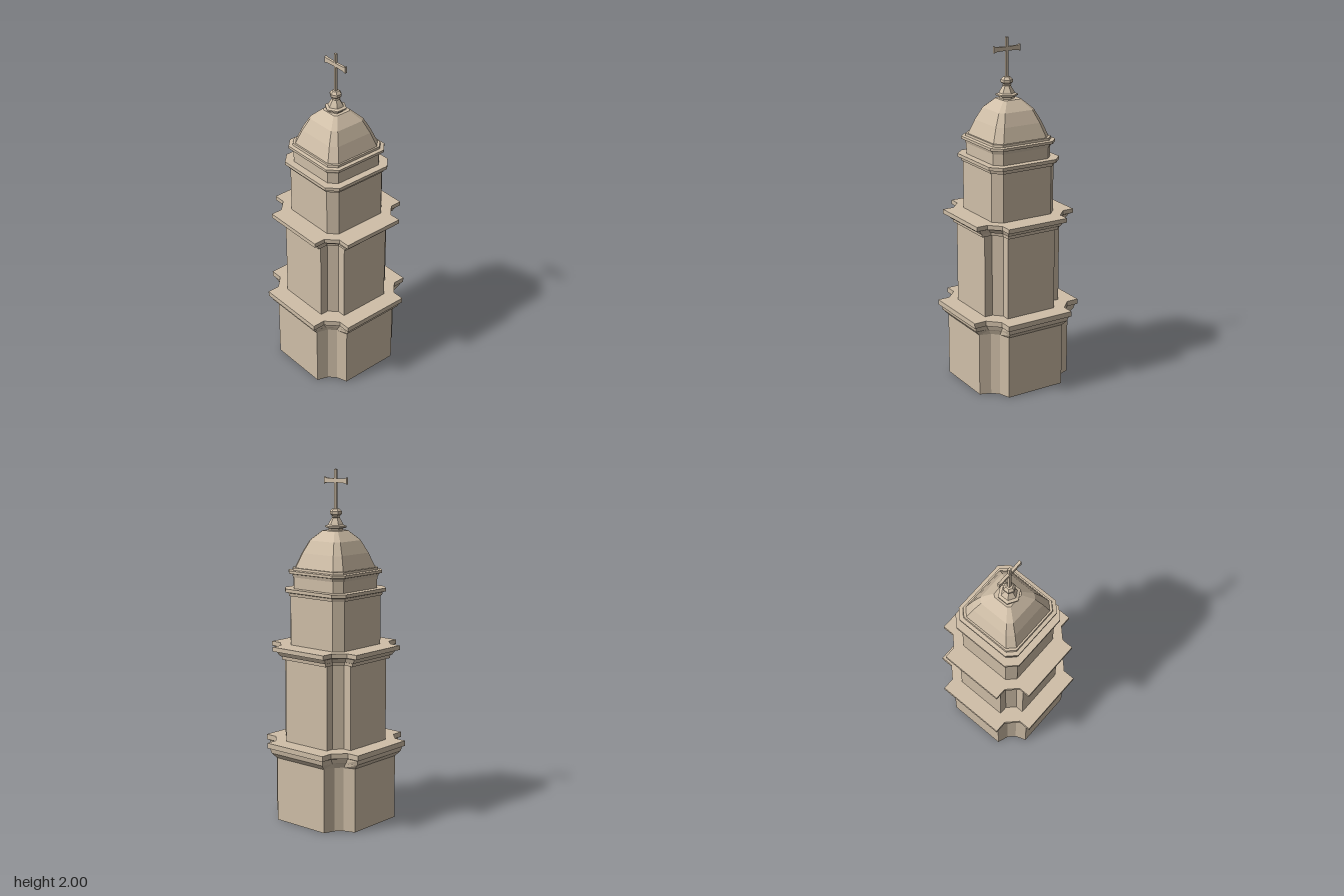
import * as THREE from 'three';

const stone = new THREE.MeshStandardMaterial({ color: 0xd0bfa8, flatShading: true, side: THREE.DoubleSide });

// Rotates one corner's points into all four quadrants
function fourCorners(corner) {
  const ring = [];
  for (let q = 0; q < 4; q++) {
    for (const [x, z] of corner) {
      let p = [x, z];
      for (let i = 0; i < q; i++) p = [-p[1], p[0]];
      ring.push(p);
    }
  }
  return ring;
}

// Cross plan: arm reach r, arm half width w (wk at its root), root distance k
const crossPlan = (r, w, k, wk = w) => fourCorners([[r, w], [k, wk], [wk, k], [w, r]]);
// Square plan with chamfered corners
const chamferPlan = (r, w) => fourCorners([[r, w], [w, r]]);

// Skins a stack of rings [y, points] and closes both ends
function loft(name, rings) {
  const n = rings[0][1].length, pos = [], idx = [];
  for (const [y, pts] of rings) for (const [x, z] of pts) pos.push(x, y, z);
  const last = rings.length - 1, bottom = rings.length * n, top = bottom + 1;
  pos.push(0, rings[0][0], 0, 0, rings[last][0], 0);
  for (let j = 0; j < n; j++) {
    const k = (j + 1) % n;
    for (let i = 0; i < last; i++) {
      const a = i * n + j, b = i * n + k, c = a + n, d = b + n;
      idx.push(a, c, b, b, c, d);
    }
    idx.push(bottom, j, k, top, last * n + k, last * n + j);
  }
  const g = new THREE.BufferGeometry();
  g.setAttribute('position', new THREE.Float32BufferAttribute(pos, 3));
  g.setIndex(idx);
  const flat = g.toNonIndexed();
  flat.computeVertexNormals();
  return named(name, flat);
}

function named(name, geometry) {
  const mesh = new THREE.Mesh(geometry, stone);
  mesh.name = name;
  return mesh;
}

const crossTier = (name, rows) => loft(name, rows.map(([y, ...p]) => [y, crossPlan(...p)]));
const chamferTier = (name, rows) => loft(name, rows.map(([y, ...p]) => [y, chamferPlan(...p)]));

export function createModel() {
  const tower = new THREE.Group();
  tower.name = 'bellTower';

  // Lower storeys with cross-shaped plan
  tower.add(crossTier('baseStorey', [
    [0, 0.3, 0.178, 0.237, 0.2], [0.37, 0.3, 0.178, 0.237, 0.2],
  ]));
  tower.add(crossTier('baseCornice', [
    [0.37, 0.302, 0.18, 0.238, 0.2], [0.395, 0.325, 0.19, 0.25, 0.2],
    [0.4, 0.33, 0.193, 0.255, 0.2], [0.425, 0.335, 0.2, 0.265],
    [0.43, 0.348, 0.21, 0.275], [0.46, 0.348, 0.21, 0.275],
  ]));
  tower.add(crossTier('middleStorey', [
    [0.46, 0.248, 0.155, 0.2], [0.94, 0.248, 0.155, 0.2],
  ]));
  tower.add(crossTier('middleCornice', [
    [0.94, 0.268, 0.163, 0.21], [0.958, 0.27, 0.165, 0.212],
    [0.96, 0.278, 0.17, 0.22], [0.985, 0.295, 0.18, 0.235],
    [0.99, 0.318, 0.19, 0.25], [1.015, 0.318, 0.19, 0.25],
  ]));

  // Upper storeys with chamfered corners
  tower.add(chamferTier('upperStorey', [[1.015, 0.203, 0.156], [1.3, 0.203, 0.156]]));
  tower.add(chamferTier('upperCornice', [
    [1.295, 0.21, 0.16], [1.312, 0.213, 0.162], [1.317, 0.228, 0.172], [1.336, 0.228, 0.172],
  ]));
  tower.add(chamferTier('drum', [[1.336, 0.187, 0.145], [1.405, 0.187, 0.145]]));
  tower.add(chamferTier('drumCornice', [
    [1.4, 0.19, 0.147], [1.418, 0.195, 0.15], [1.422, 0.21, 0.16],
    [1.437, 0.21, 0.16], [1.44, 0.19, 0.15], [1.453, 0.188, 0.148],
  ]));

  // Faceted dome
  tower.add(chamferTier('dome', [
    [1.44, 0.179, 0.138], [1.455, 0.178, 0.138], [1.535, 0.148, 0.114],
    [1.605, 0.113, 0.088], [1.66, 0.057, 0.043],
  ]));

  // Six-sided finial under the cross
  const top = new THREE.Group();
  top.name = 'finialAndCross';
  top.position.set(-0.008, 0, 0.003);
  const profile = [[0, 1.655], [0.042, 1.655], [0.042, 1.67], [0.062, 1.676], [0.062, 1.684], [0.045, 1.69],
    [0.04, 1.7], [0.022, 1.73], [0.026, 1.734], [0.02, 1.738], [0.034, 1.75],
    [0.034, 1.765], [0.02, 1.78], [0, 1.782]].map(([r, y]) => new THREE.Vector2(r, y));
  const finial = named('finial', new THREE.LatheGeometry(profile, 6));
  finial.rotation.y = Math.PI / 6;
  finial.rotation.y += Math.PI / 3 - Math.PI / 6 + Math.PI / 6;
  finial.rotation.y = Math.PI / 2;
  top.add(finial);

  // Cross post and flared arms running front to back
  const post = named('crossPost', new THREE.BoxGeometry(0.013, 0.23, 0.015));
  post.position.y = 1.885;
  top.add(post);
  const half = [[0.083, 0.019], [0.068, 0.013], [0, 0.011]];
  const outline = [
    ...half, ...half.slice(0, 2).reverse().map(([x, y]) => [-x, y]),
    ...half.slice(0, 2).map(([x, y]) => [-x, -y]), [0, -0.011],
    ...half.slice(0, 2).reverse().map(([x, y]) => [x, -y]),
  ].map(([x, y]) => new THREE.Vector2(x, y));
  const armGeometry = new THREE.ExtrudeGeometry(new THREE.Shape(outline), { depth: 0.015, bevelEnabled: false });
  armGeometry.translate(0, 0, -0.0075);
  const arms = named('crossArms', armGeometry);
  arms.rotation.y = Math.PI / 2;
  arms.position.y = 1.936;
  top.add(arms);
  tower.add(top);

  return tower;
}
